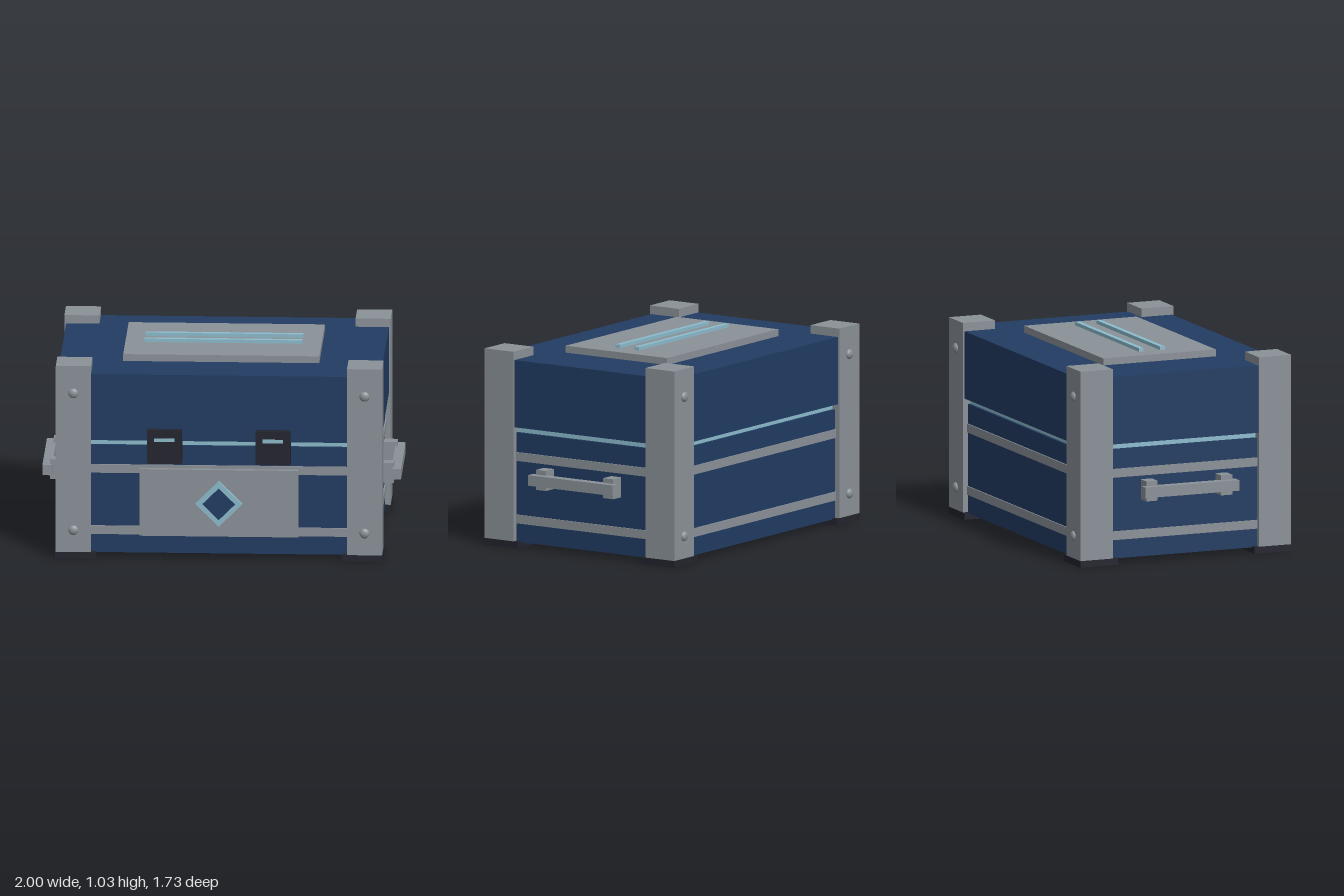
import * as THREE from 'three';

const mat = (name, color) => {
  const m = new THREE.MeshStandardMaterial({ color });
  m.name = name;
  return m;
};

export function createModel() {
  const navy = mat('navy', 0x213c62);
  const steel = mat('steel grey', 0x8a9198);
  const teal = mat('pale teal', 0x8cbccd);
  const black = mat('dark rubber', 0x22232d);

  const chest = new THREE.Group();
  chest.name = 'chest';

  const add = (name, geometry, material, x, y, z) => {
    const m = new THREE.Mesh(geometry, material);
    m.name = name;
    m.position.set(x, y, z);
    chest.add(m);
    return m;
  };
  // Box given by its width, depth and vertical range
  const box = (name, material, w, d, y0, y1, x = 0, z = 0) =>
    add(name, new THREE.BoxGeometry(w, y1 - y0, d), material, x, (y0 + y1) / 2, z);

  // Body, recessed seam and lid
  box('body', navy, 1.616, 1.122, 0.028, 0.597);
  box('seam', teal, 1.588, 1.094, 0.59, 0.63);
  box('lid', navy, 1.654, 1.16, 0.626, 0.976);

  // Bands running round the body
  for (const y of [0.125, 0.45]) box('band', steel, 1.63, 1.136, y, y + 0.045);

  // Corner posts with feet, and rivets on the front and back
  const rivet = new THREE.SphereGeometry(0.026, 16, 10);
  for (const sx of [-1, 1]) for (const sz of [-1, 1]) {
    box('cornerPost', steel, 0.18, 0.18, 0.032, 1.02, sx * 0.746, sz * 0.499);
    box('foot', black, 0.21, 0.21, 0, 0.034, sx * 0.734, sz * 0.487);
    for (const y of [0.15, 0.875]) {
      add('rivet', rivet, steel, sx * 0.746, y, sz * 0.589).scale.z = 0.6;
    }
  }

  // Top plate with two raised strips
  box('topPlate', steel, 1.005, 0.63, 0.97, 1.012);
  for (const s of [-1, 1]) box('topStrip', teal, 0.81, 0.026, 1.005, 1.03, 0, s * 0.059);

  // Front plate with a diamond badge
  box('frontPlate', steel, 0.815, 0.04, 0.125, 0.478, 0, 0.572);
  add('diamondFrame', new THREE.BoxGeometry(0.17, 0.17, 0.03), teal, 0, 0.302, 0.596).rotation.z = Math.PI / 4;
  add('diamondCentre', new THREE.BoxGeometry(0.118, 0.118, 0.008), navy, 0, 0.302, 0.612).rotation.z = Math.PI / 4;

  // Latches
  for (const s of [-1, 1]) {
    box('latch', black, 0.178, 0.066, 0.515, 0.69, s * 0.278, 0.588);
    box('latchStrip', teal, 0.104, 0.008, 0.632, 0.65, s * 0.278, 0.622);
  }

  // Side handles
  for (const sx of [-1, 1]) {
    box('handleBar', steel, 0.05, 0.525, 0.351, 0.406, sx * 0.894, 0);
    for (const sz of [-1, 1]) {
      box('handleBracket', steel, 0.085, 0.062, 0.326, 0.43, sx * 0.838, sz * 0.209);
    }
  }

  // The chest stands turned about its vertical axis
  chest.rotation.y = THREE.MathUtils.degToRad(-22);

  const model = new THREE.Group();
  model.name = 'storageChest';
  model.add(chest);
  return model;
}
